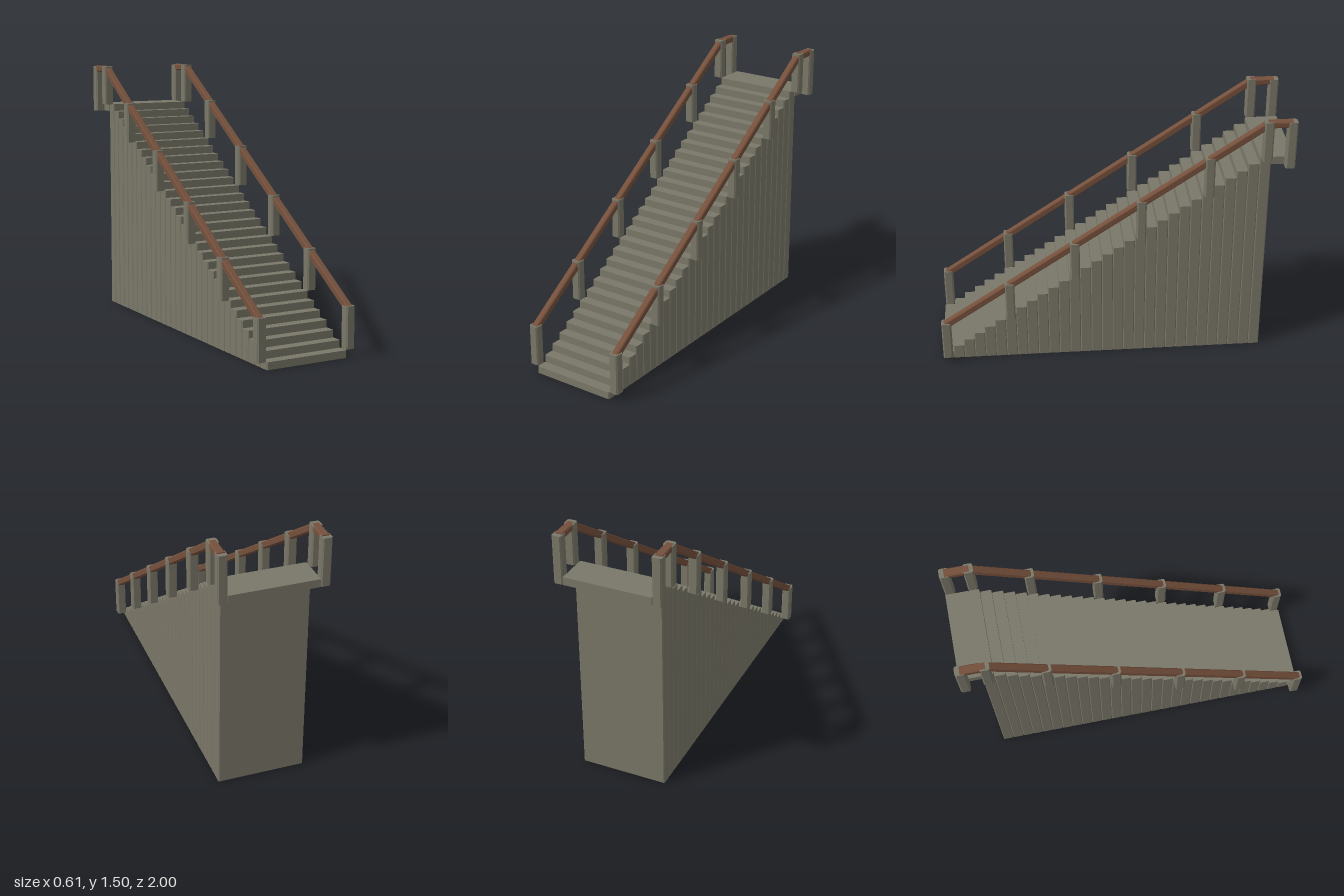
import * as THREE from 'three';

const STEPS = 30, RUN = 0.0625, RISE = 0.042, HALF_W = 0.25;
const POST = 0.055, POST_H = 0.235, RAIL = 0.04, SIDE_X = 0.278;

// Rectangular prism with chamfered long edges, standing on y = 0
function chamferedPrism(w, d, h, c) {
  const x = w / 2, z = d / 2;
  const shape = new THREE.Shape([
    [-x + c, -z], [x - c, -z], [x, -z + c], [x, z - c],
    [x - c, z], [-x + c, z], [-x, z - c], [-x, -z + c],
  ].map(([a, b]) => new THREE.Vector2(a, b)));
  return new THREE.ExtrudeGeometry(shape, { depth: h, bevelEnabled: false }).rotateX(-Math.PI / 2);
}

export function createModel() {
  const model = new THREE.Group();
  model.name = 'staircase';
  const stone = new THREE.MeshStandardMaterial({ color: 0x7a7768 });
  stone.name = 'grey stone';
  const wood = new THREE.MeshStandardMaterial({ color: 0x75503c });
  wood.name = 'brown wood';

  const add = (parent, name, geometry, material, x, y, z) => {
    const mesh = new THREE.Mesh(geometry, material);
    mesh.name = name;
    mesh.position.set(x, y, z);
    parent.add(mesh);
    return mesh;
  };
  const stepZ = (i) => 1 - (i + 0.5) * RUN;

  // Solid steps, each a full-height column
  const steps = new THREE.Group();
  steps.name = 'steps';
  model.add(steps);
  for (let i = 0; i < STEPS; i++) {
    add(steps, 'step', chamferedPrism(HALF_W * 2, RUN, RISE * (i + 1), 0.005), stone, 0, 0, stepZ(i));
  }

  // Overhanging landing slab
  add(model, 'landing', new THREE.BoxGeometry(HALF_W * 2, 0.046, 0.125), stone, 0, 1.237, -0.9375);

  for (const side of [-1, 1]) {
    const railing = new THREE.Group();
    railing.name = side > 0 ? 'leftRailing' : 'rightRailing';
    model.add(railing);
    const x = side * SIDE_X;

    // Posts on every sixth step and on the last one
    for (const i of [0, 6, 12, 18, 24, 29]) {
      add(railing, 'post', chamferedPrism(POST, POST, POST_H, 0.008), stone, x, RISE * (i + 1), stepZ(i));
    }
    add(railing, 'landingPost', chamferedPrism(POST, POST, 0.277, 0.008), stone, x, 1.213, -0.9725);

    // Sloping handrail
    const start = new THREE.Vector3(x, 0.255, 0.98);
    const end = new THREE.Vector3(x, 1.473, -0.835);
    const dir = end.clone().sub(start);
    const rail = add(railing, 'slopingHandrail', chamferedPrism(RAIL, RAIL, dir.length(), 0.006), wood, x, start.y, start.z);
    rail.quaternion.setFromUnitVectors(new THREE.Vector3(0, 1, 0), dir.normalize());

    // Level handrail over the landing
    const level = add(railing, 'levelHandrail', chamferedPrism(0.047, 0.037, 0.135, 0.006), wood, x, 1.477, -0.838);
    level.rotation.x = -Math.PI / 2;
  }
  return model;
}
